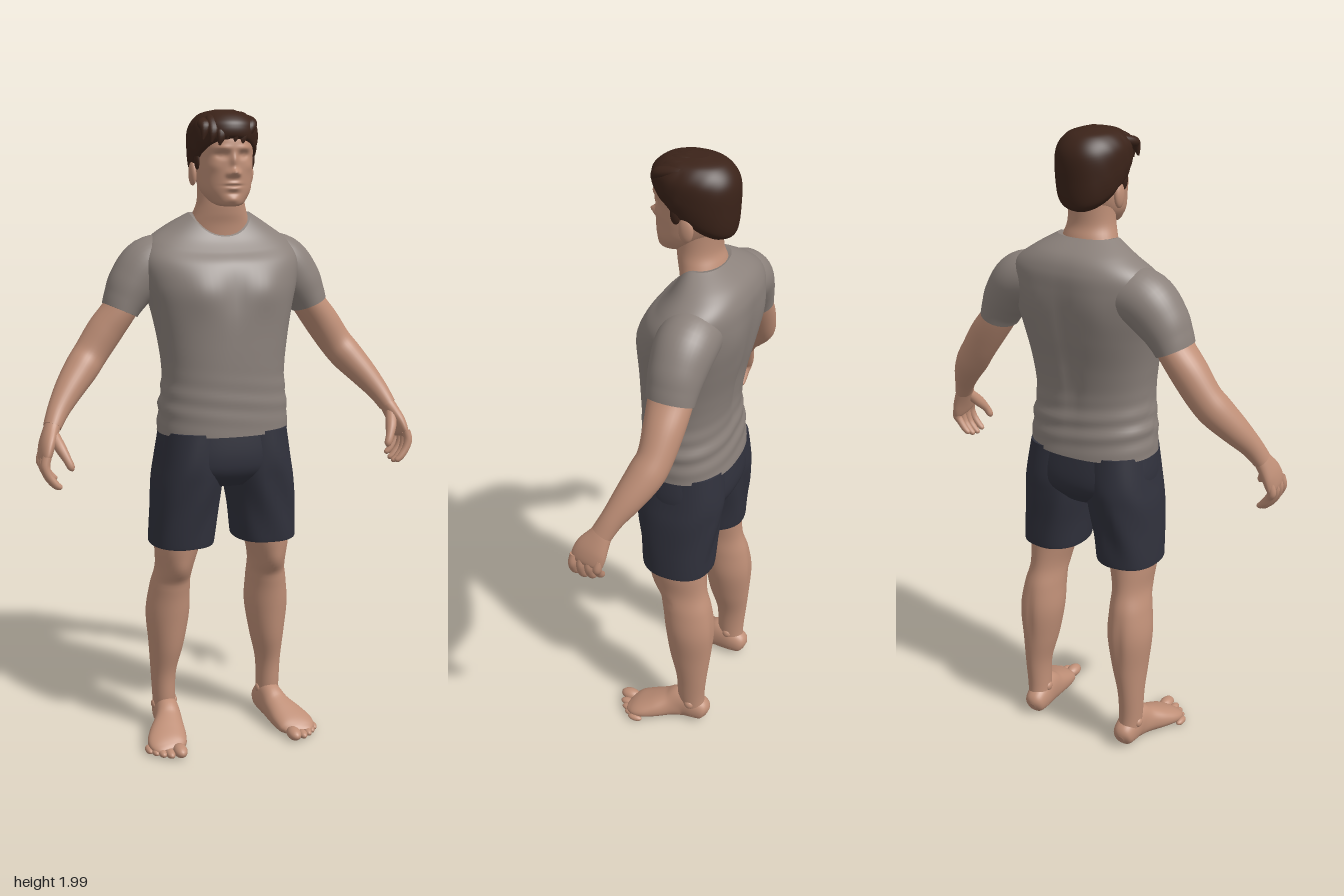
import * as THREE from 'three';

const mat = (name, color) => Object.assign(new THREE.MeshStandardMaterial({ color }), { name });

// Catmull-Rom interpolation of a whole station row
function sample(st, t) {
  const i = Math.min(Math.floor(t), st.length - 2), f = t - i;
  const at = k => st[Math.max(0, Math.min(st.length - 1, k))];
  return st[0].map((_, k) => {
    const [a, b, c, d] = [at(i - 1)[k], at(i)[k], at(i + 1)[k], at(i + 2)[k]];
    return b + 0.5 * f * (c - a + f * (2 * a - 5 * b + 4 * c - d + f * (3 * (b - c) + d - a)));
  });
}

// Skin over oval sections [x, y, z, a, b, tilt].
// flat: level sections (a across x, b across z), stations run upwards; otherwise sections follow the path.
function loft(st, { flat = false, ref = [0, 0, 1], seg = 32, rows = 6, n = 2, lift = s => s, warp } = {}) {
  const N = (st.length - 1) * rows, pos = [], idx = [];
  const U = new THREE.Vector3(), V = new THREE.Vector3(), T = new THREE.Vector3(), p = new THREE.Vector3();
  const sup = v => Math.sign(v) * Math.pow(Math.abs(v), 2 / n);
  for (let j = 0; j <= N; j++) {
    const [x, y, z, a, b, tilt = 0] = sample(st, j / rows);
    const A = sample(st, Math.max(0, j - 1) / rows), B = sample(st, Math.min(N, j + 1) / rows);
    if (flat) T.set(0, 1, 0); else T.set(B[0] - A[0], B[1] - A[1], B[2] - A[2]).normalize();
    U.set(...(flat ? [1, 0, 0] : ref));
    U.addScaledVector(T, -U.dot(T)).normalize();
    V.crossVectors(T, U);
    for (let i = 0; i < seg; i++) {
      const th = i / seg * Math.PI * 2, c = Math.cos(th), s = Math.sin(th);
      p.set(x, y, z).addScaledVector(U, Math.max(a, 0.001) * sup(c)).addScaledVector(V, Math.max(b, 0.001) * sup(s));
      p.y += tilt * lift(-s);
      if (warp) warp(p);
      pos.push(p.x, p.y, p.z);
      if (j < N) {
        const q = j * seg + i, r = j * seg + (i + 1) % seg;
        idx.push(q, r, r + seg, q, r + seg, q + seg);
      }
    }
  }
  // end caps with their own vertices so that hems stay crisp
  for (const j of [0, N]) {
    const ring = pos.slice(j * seg * 3, (j + 1) * seg * 3), base = pos.length / 3, mid = [0, 0, 0];
    ring.forEach((v, k) => { mid[k % 3] += v / seg; });
    pos.push(...ring, ...mid);
    for (let i = 0; i < seg; i++) {
      const q = base + i, r = base + (i + 1) % seg;
      if (j) idx.push(q, r, base + seg); else idx.push(r, q, base + seg);
    }
  }
  const g = new THREE.BufferGeometry();
  g.setAttribute('position', new THREE.Float32BufferAttribute(pos, 3));
  g.setIndex(idx);
  g.computeVertexNormals();
  return g;
}

const blob = (x, y, z, a, b, c) => new THREE.SphereGeometry(1, 20, 14).scale(a, b, c).translate(x, y, z);
const bell = (v, c, w) => Math.exp(-(((v - c) / w) ** 2));

// soft bumps on the front of the face: |x|, y, width, height, depth
const FACE = [
  [0, 1.845, .010, .022, .012], [0, 1.811, .012, .011, .024], [.015, 1.806, .008, .008, .008],
  [.034, 1.861, .017, .010, -.013], [.034, 1.861, .009, .006, .005], [.032, 1.881, .024, .008, .005],
  [.055, 1.828, .018, .016, .004], [0, 1.779, .020, .005, .006], [0, 1.772, .026, .003, -.004],
  [0, 1.764, .018, .006, .006], [0, 1.750, .020, .006, -.003], [0, 1.731, .018, .010, .005],
];
function faceWarp(p) {
  if (p.z < 0.02) return;
  const y = p.y, k = Math.min(1, (p.z - 0.02) / 0.04);
  for (const [bx, by, w, h, d] of FACE) p.z += k * d * bell(Math.abs(p.x), bx, w) * bell(y, by, h);
}

// chest, spine groove and cloth folds
function shirtWarp(p) {
  const { x, y, z } = p, ax = Math.abs(x);
  if (z > 0) p.z += .012 * bell(ax, .1, .06) * bell(y, 1.46, .06) - .006 * bell(x, 0, .02) * bell(y, 1.45, .08);
  else p.z += .012 * bell(x, 0, .025) * bell(y, 1.35, .16) - .006 * bell(ax, .11, .05) * bell(y, 1.5, .07);
  const fold = 1 + .018 * bell(y, 1.12, .07) * Math.sin(y * 105 + x * 14 + (z < 0 ? 1 : 2.2)) * (z < 0 ? 1 : .5);
  p.x *= fold;
  p.z *= fold;
}

export function createModel() {
  const model = new THREE.Group();
  model.name = 'standingMan';
  const skin = mat('skin', 0xbf8f77), shirt = mat('shirtGrey', 0x8b817b);
  const shorts = mat('shortsNavy', 0x30313c), hair = mat('hairBrown', 0x3b2319);
  const add = (name, geo, m) => {
    const mesh = new THREE.Mesh(geo, m);
    mesh.name = name;
    model.add(mesh);
  };

  // Shirt body with a scooped collar
  add('shirtBody', loft([
    [0, 1.02, -.007, .208, .147, 0], [0, 1.10, -.003, .204, .143, 0], [0, 1.20, .002, .193, .138, 0],
    [0, 1.30, -.004, .203, .145, 0], [0, 1.40, -.016, .222, .156, 0], [0, 1.48, -.028, .243, .156, 0],
    [0, 1.55, -.042, .25, .147, .01], [0, 1.605, -.058, .225, .128, .03], [0, 1.65, -.058, .165, .105, .05],
    [0, 1.69, -.036, .098, .068, .07],
  ], { flat: true, seg: 72, rows: 10, n: 2.3, lift: s => -Math.pow(Math.max(0, s), 1.5), warp: shirtWarp }), shirt);

  // Shorts: seat
  add('shortsSeat', loft([
    [0, .855, -.008, .09, .10], [0, .90, -.008, .195, .137], [0, .95, -.008, .214, .146], [0, 1.04, -.005, .2, .138],
  ], { flat: true, seg: 56, n: 2.3 }), shorts);

  // Head and neck
  add('neck', loft([
    [0, 1.58, -.055, .11, .08], [0, 1.65, -.04, .098, .07], [0, 1.69, -.03, .084, .069],
    [0, 1.73, -.022, .073, .066], [0, 1.80, -.025, .07, .068],
  ], { flat: true, seg: 40 }), skin);
  add('head', loft([
    [0, 1.712, .062, .026, .028], [0, 1.718, .052, .042, .046], [0, 1.732, .036, .057, .066],
    [0, 1.76, .02, .075, .084], [0, 1.80, .003, .083, .103], [0, 1.85, -.006, .087, .112],
    [0, 1.90, -.01, .089, .119], [0, 1.95, -.01, .078, .098], [0, 1.975, -.01, .045, .06],
  ], { flat: true, seg: 128, rows: 12, n: 2.15, warp: faceWarp }), skin);

  // Hair: cap with a hairline that rises to the front, then swept locks
  add('hairCap', loft([
    [0, 1.835, .002, .086, .102, .07], [0, 1.85, -.006, .098, .121, .067], [0, 1.895, -.01, .104, .126, .045],
    [0, 1.945, -.014, .099, .12, .016], [0, 1.98, -.014, .07, .086, .004], [0, 1.993, -.012, .025, .032, 0],
  ], {
    flat: true, seg: 96, rows: 8, n: 2.1,
    warp: p => { p.x *= 1 + .012 * Math.sin(p.z * 120 + p.y * 60) * (p.z > 0 ? 1 : .3); },
  }), hair);
  for (let i = 0; i < 7; i++) {
    const x = -.078 + i * .024, e = x * .95 - .008, drop = .008 * (i % 3), top = 1.982 - 3.2 * x * x;
    add('hairLock', loft([
      [x * .5 + .01, 1.972, -.06, .003, .004], [x * .8 + .01, top - .002, 0, .017, .014],
      [x, top - .012, .058, .02, .016], [e, 1.94 - drop, .101 - 3 * x * x, .017, .013],
      [e - .008, 1.905 - drop, .107 - 3 * x * x, .003, .003],
    ], { ref: [1, 0, 0], seg: 14 }), hair);
  }

  for (const s of [1, -1]) {
    const side = s > 0 ? 'left' : 'right';
    const part = (name, st, m, opt) => add(side + name, loft(st.map(([x, ...r]) => [x * s, ...r]), opt), m);
    const ball = (name, x, ...r) => add(side + name, blob(x * s, ...r), skin);

    // Ear and sideburn
    ball('Ear', .09, 1.808, -.017, .012, .037, .022);
    add(side + 'Sideburn', blob(s * .085, 1.85, .016, .01, .032, .016), hair);

    // Sleeve and arm
    part('Sleeve', [
      [.14, 1.545, -.075, .085, .085], [.215, 1.528, -.072, .09, .088], [.268, 1.475, -.068, .083, .078],
      [.296, 1.43, -.066, .076, .065], [.311, 1.398, -.065, .072, .057],
    ], shirt, { seg: 40 });
    part('Arm', [
      [.28, 1.45, -.066, .066, .052], [.315, 1.395, -.066, .066, .052], [.36, 1.335, -.066, .06, .055],
      [.405, 1.27, -.061, .053, .053], [.44, 1.225, -.045, .054, .052], [.485, 1.17, -.015, .046, .044],
      [.525, 1.115, .018, .035, .034], [.55, 1.07, .042, .033, .027],
    ], skin, { seg: 32 });

    // Hand: palm, curled fingers, thumb
    part('Palm', [
      [.54, 1.09, .034, .026, .024], [.555, 1.06, .047, .036, .024], [.572, 1.02, .066, .05, .023],
      [.582, .985, .078, .051, .018], [.583, .972, .081, .04, .009],
    ], skin, { seg: 28 });
    for (let i = 0; i < 4; i++) {
      const z = .117 - i * .026, y = [.006, 0, .004, .016][i];
      part('Finger', [
        [.582, .995, z, .013, .014], [.588, .968, z + .004, .0135, .014], [.579, .934 + y, z + .008, .012, .012],
        [.56, .908 + y, z + .01, .011, .011], [.546, .897 + y, z + .01, .008, .008], [.542, .894 + y, z + .01, .002, .002],
      ], skin, { seg: 14 });
    }
    part('Thumb', [
      [.552, 1.05, .066, .018, .018], [.537, 1.015, .1, .019, .017], [.523, .985, .122, .013, .013],
      [.513, .962, .13, .011, .011], [.509, .952, .132, .003, .003],
    ], skin, { seg: 16 });

    // Shorts leg
    part('ShortsLeg', [
      [.138, .663, -.01, .1, .112], [.137, .672, -.01, .102, .115], [.13, .76, -.008, .105, .122],
      [.119, .86, -.008, .109, .134], [.112, .93, -.008, .104, .14], [.1, 1.03, -.005, .1, .134],
    ], shorts, {
      flat: true, seg: 44, n: 2.3,
      warp: p => { p.z += .004 * Math.sin(p.x * 60 * s + p.y * 25) * bell(p.y, .8, .12); },
    });

    // Leg with calf and kneecap
    part('Leg', [
      [.178, .03, -.083, .036, .042], [.182, .10, -.072, .037, .046], [.183, .20, -.073, .041, .053],
      [.175, .30, -.066, .056, .071], [.17, .41, -.062, .07, .083], [.165, .50, -.05, .064, .084],
      [.158, .57, -.028, .058, .087], [.152, .64, -.014, .068, .096], [.142, .72, -.01, .08, .1],
    ], skin, {
      flat: true, seg: 40,
      warp: p => {
        const x = p.x * s;
        if (p.z > -.02) p.z += .009 * bell(x, .158, .035) * bell(p.y, .585, .035) - .005 * bell(p.y, .535, .02);
        else p.z += .006 * bell(x, .172, .015) * bell(p.y, .4, .1);
      },
    });
    ball('OuterAnkle', .214, .085, -.075, .011, .016, .016);
    ball('InnerAnkle', .15, .095, -.068, .011, .016, .016);

    // Foot and toes
    part('Foot', [
      [.177, .035, -.13, .012, .016], [.177, .04, -.118, .032, .036], [.178, .052, -.085, .039, .05],
      [.181, .06, -.04, .04, .06], [.19, .048, .005, .047, .048], [.206, .036, .055, .059, .038],
      [.22, .026, .1, .062, .028], [.224, .019, .128, .05, .018], [.224, .016, .142, .03, .01],
    ], skin, { ref: [1, 0, 0], seg: 36, n: 2.2, warp: p => { p.y = Math.max(p.y, .003); } });
    const toes = [[.193, .155, .022], [.224, .151, .0145], [.246, .137, .0135], [.264, .12, .0125], [.28, .1, .0125]];
    for (const [x, z, r] of toes) ball('Toe', x, r * .9 + .001, z, r, r * .9, r + .013);
  }
  return model;
}
